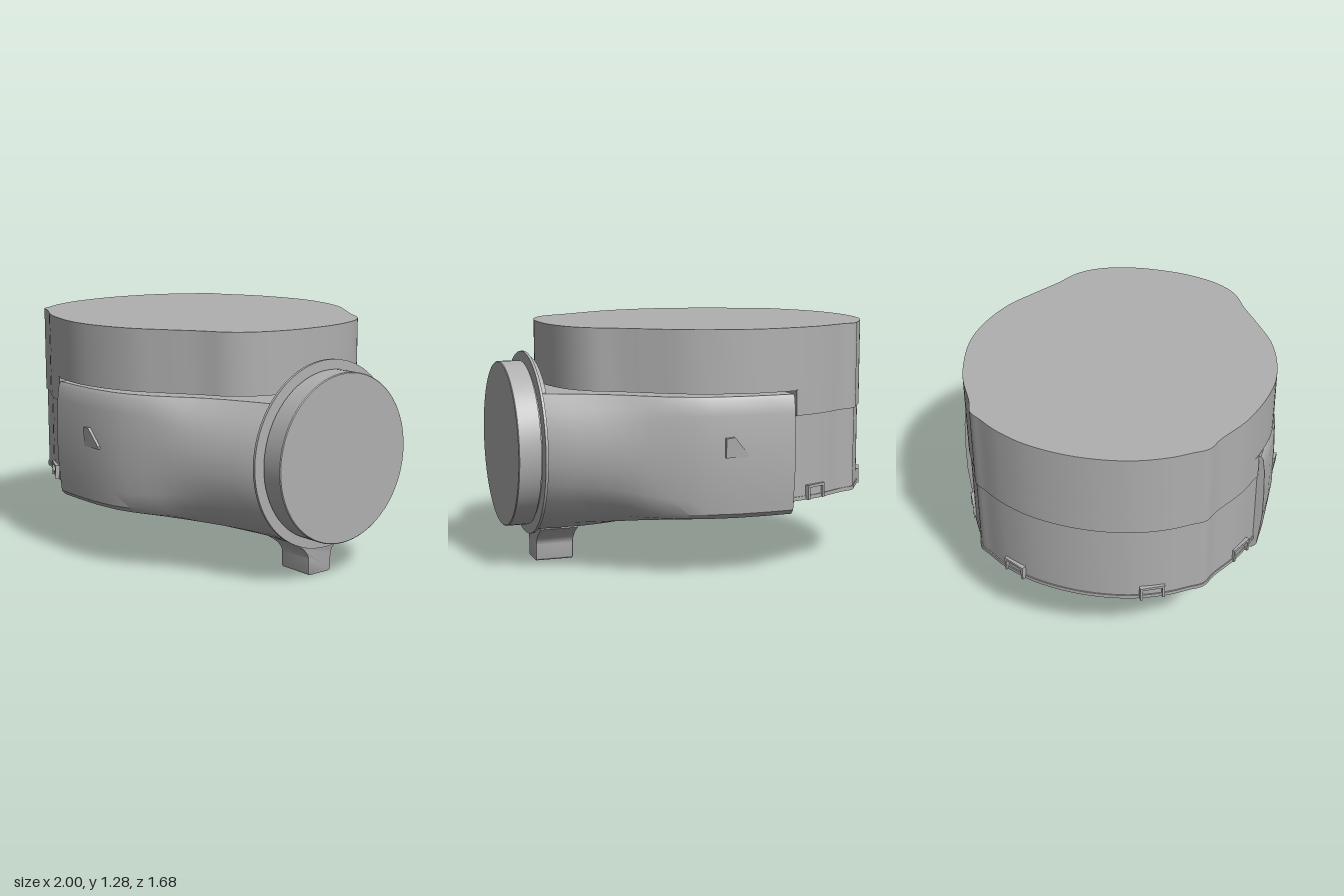
import * as THREE from 'three';
import { toCreasedNormals } from 'three/addons/utils/BufferGeometryUtils.js';

const grey = new THREE.MeshStandardMaterial({ color: 0xb0b0b0 });
grey.name = 'housing grey';

// Half of the housing outline as [x, z], rear to nose
const HALF = [[-1, 0], [-0.97, 0.25], [-0.9, 0.43], [-0.83, 0.54], [-0.785, 0.605], [-0.7, 0.64],
  [-0.5, 0.745], [-0.2, 0.815], [0, 0.8], [0.2, 0.735], [0.35, 0.64], [0.5, 0.535], [0.63, 0.455],
  [0.71, 0.35], [0.765, 0.18], [0.78, 0]];

function outline() {
  const mirrored = HALF.slice(1, -1).reverse().map(([x, z]) => [x, -z]);
  const pts = [...HALF, ...mirrored].map(([x, z]) => new THREE.Vector3(x, z, 0));
  return new THREE.CatmullRomCurve3(pts, true, 'centripetal').getPoints(180).slice(0, -1)
    .map(p => new THREE.Vector2(p.x, p.y));
}

// Part of the outline lying behind x = limit
function rearOutline(limit, scale = 1) {
  return outline().map(p => new THREE.Vector2(Math.min(p.x * scale, limit), p.y * scale))
    .filter((p, i, a) => p.x < limit || a[(i + 1) % a.length].x < limit || a[(i + a.length - 1) % a.length].x < limit);
}

// Upright prism from a plan outline
function prism(points, y0, y1) {
  const g = new THREE.ExtrudeGeometry(new THREE.Shape(points), { depth: y1 - y0, bevelEnabled: false });
  return g.rotateX(-Math.PI / 2).translate(0, y0, 0);
}

function lathe(profile) {
  return new THREE.LatheGeometry(profile.map(([r, y]) => new THREE.Vector2(r, y)), 72);
}

// Side shroud: wide rounded section at the rear becoming a clipped circle at the outlet
function shroudGeometry() {
  const wide = [[0, 0.29], [0.3, 0.29], [0.6, 0.295], [0.85, 0.305], [0.945, 0.32], [0.975, 0.345],
    [0.985, 0.42], [1, 0.55], [1, 0.7], [0.993, 0.85], [0.98, 0.925], [0.965, 0.945]];
  // x, half width, blend towards the circle
  const stations = [[-0.35, 0.825, 0], [-0.2, 0.829, 0], [-0.05, 0.825, 0], [0.1, 0.805, 0.02],
    [0.2, 0.775, 0.06], [0.3, 0.735, 0.15], [0.38, 0.7, 0.32], [0.46, 0.665, 0.56], [0.54, 0.628, 0.74],
    [0.64, 0.582, 0.88], [0.75, 0.53, 0.96], [0.86, 0.475, 1]];
  const rings = stations.map(([x, w, s]) => {
    const half = wide.map(([z, y], j) => {
      const a = THREE.MathUtils.degToRad(-90 + 130 * j / (wide.length - 1));
      return [x, THREE.MathUtils.lerp(y, 0.64 + 0.475 * Math.sin(a), s),
        w * THREE.MathUtils.lerp(z, Math.cos(a), s)];
    });
    return [...half, ...half.slice(1).reverse().map(([px, y, z]) => [px, y, -z])];
  });
  const n = rings[0].length, pos = [];
  const tri = (...c) => c.forEach(p => pos.push(...p));
  for (let i = 0; i < rings.length - 1; i++) {
    for (let j = 0; j < n; j++) {
      const k = (j + 1) % n, a = rings[i], b = rings[i + 1];
      tri(a[j], b[j], a[k]);
      tri(b[j], b[k], a[k]);
    }
  }
  const first = rings[0], last = rings[rings.length - 1];
  for (let j = 0; j < n; j++) {
    const k = (j + 1) % n;
    tri([-0.35, 0.64, 0], first[j], first[k]);
    tri([0.86, 0.64, 0], last[k], last[j]);
  }
  const g = new THREE.BufferGeometry();
  g.setAttribute('position', new THREE.Float32BufferAttribute(pos, 3));
  return g;
}

export function createModel() {
  const model = new THREE.Group();
  model.name = 'motorHousing';
  const add = (name, geometry, parent = model, crease = 0.6) => {
    const mesh = new THREE.Mesh(toCreasedNormals(geometry, crease), grey);
    mesh.name = name;
    parent.add(mesh);
    return mesh;
  };

  // Upper housing with its deeper rear skirt
  add('upperHousing', prism(outline(), 0.96, 1.283));
  add('upperSkirt', prism(rearOutline(-0.37), 0.83, 0.965));

  // Rear drum and its bottom rim
  add('rearDrum', prism(rearOutline(-0.25, 0.992), 0.4, 0.835));
  add('drumRim', prism(rearOutline(-0.25, 0.998), 0.385, 0.405));

  // Shroud leading to the outlet
  add('shroud', shroudGeometry());

  // Bottom cover
  const cover = lathe([[0, 0.25], [0.47, 0.25], [0.485, 0.254], [0.495, 0.268], [0.5, 0.29], [0.5, 0.4]]);
  add('bottomCover', cover.scale(1.02, 1, 0.97).translate(-0.18, 0, 0));

  // Round outlet: thin flange, neck and cap
  const outlet = lathe([[0, 0.83], [0.46, 0.83], [0.465, 0.852], [0.49, 0.858], [0.49, 0.872],
    [0.425, 0.874], [0.425, 0.882], [0.44, 0.882], [0.44, 0.996], [0.436, 1], [0, 1]]);
  add('outlet', outlet.rotateZ(-Math.PI / 2).translate(0, 0.64, 0));

  // Foot flaring into the underside of the shroud
  const foot = new THREE.Shape();
  foot.moveTo(-0.06, 0.005);
  foot.lineTo(0.06, 0.005);
  foot.quadraticCurveTo(0.075, 0.005, 0.075, 0.02);
  foot.lineTo(0.075, 0.09);
  foot.quadraticCurveTo(0.08, 0.14, 0.19, 0.2);
  foot.lineTo(0.19, 0.25);
  foot.lineTo(-0.19, 0.25);
  foot.lineTo(-0.19, 0.2);
  foot.quadraticCurveTo(-0.08, 0.14, -0.075, 0.09);
  foot.lineTo(-0.075, 0.02);
  foot.quadraticCurveTo(-0.075, 0.005, -0.06, 0.005);
  const footGeo = new THREE.ExtrudeGeometry(foot, { depth: 0.19, bevelEnabled: true, bevelSize: 0.005, bevelThickness: 0.008, bevelSegments: 2 });
  add('foot', footGeo.rotateY(Math.PI / 2).translate(0.636, 0, 0));

  for (const side of [1, -1]) {
    // Small sloped catch on each flank
    const catchShape = new THREE.Shape([[-0.09, 0.74], [-0.09, 0.64], [0.03, 0.64], [0.03, 0.655], [-0.045, 0.745]]
      .map(([x, y]) => new THREE.Vector2(x, y)));
    const catchGeo = new THREE.ExtrudeGeometry(catchShape, { depth: 0.02, bevelEnabled: false });
    const p = catchGeo.attributes.position;
    for (let i = 0; i < p.count; i++) {
      const lift = p.getZ(i) > 0.01 ? 0.828 + (p.getY(i) - 0.64) * 0.1 : 0.8;
      p.setZ(i, lift);
    }
    if (side < 0) catchGeo.rotateY(Math.PI).scale(1, 1, 1).translate(-0.06, 0, 0);
    add('flankCatch', catchGeo);

    // Clip frames around the lower edge of the drum
    for (const [x, z, turn] of [[-0.5, 0.737, -0.45], [-0.925, 0.365, -1.1]]) {
      const clip = new THREE.Group();
      clip.name = 'rimClip';
      add('clipTop', new THREE.BoxGeometry(0.13, 0.014, 0.03).translate(0, 0.455, 0), clip);
      for (const e of [-1, 1]) {
        add('clipLeg', new THREE.BoxGeometry(0.014, 0.07, 0.03).translate(e * 0.058, 0.42, 0), clip);
      }
      clip.position.set(x, 0, side * z);
      clip.rotation.y = side * turn;
      model.add(clip);
    }
  }
  return model;
}
